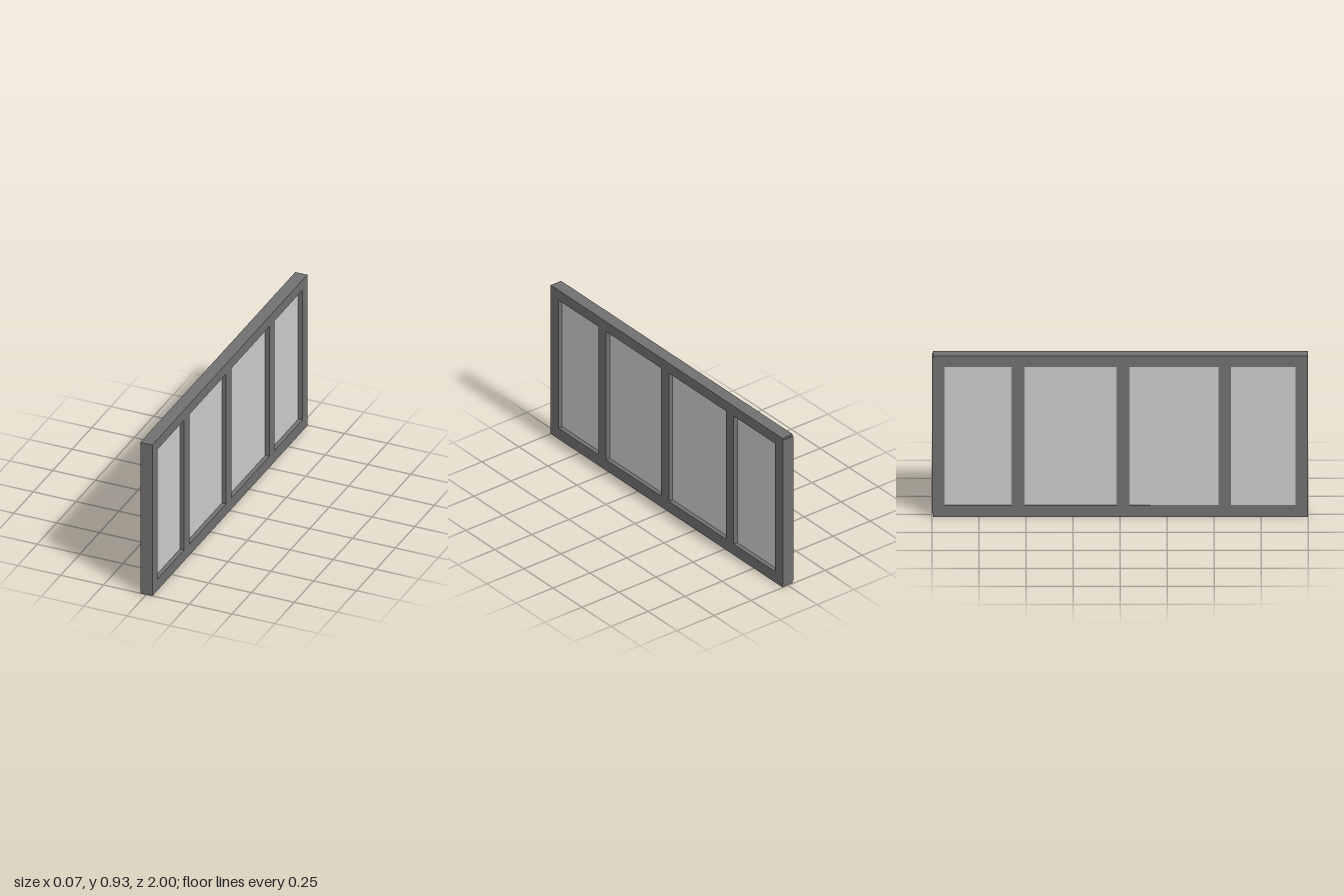
import * as THREE from 'three';

export function createModel() {
  const group = new THREE.Group();
  const frameMat = new THREE.MeshStandardMaterial({ color: 0x707070 });
  const paneMat = new THREE.MeshStandardMaterial({ color: 0xcccccc });
  const H = 0.925, W = 0.067, X = 0.035;

  // box spanning the given min/max ranges
  const box = (name, mat, [x0, x1], [y0, y1], [z0, z1]) => {
    const mesh = new THREE.Mesh(new THREE.BoxGeometry(x1 - x0, y1 - y0, z1 - z0), mat);
    mesh.position.set((x0 + x1) / 2, (y0 + y1) / 2, (z0 + z1) / 2);
    mesh.name = name;
    group.add(mesh);
  };
  const depth = [-X, X];

  // rails, stopping just short of the back stile's outer face
  box('bottomRail', frameMat, depth, [0, W], [-0.995, 1]);
  box('topRail', frameMat, depth, [H - W + 0.005, H], [-0.995, 1]);

  // end stiles; the back one stands slightly proud of the rails
  box('frontStile', frameMat, depth, [W, H - W + 0.005], [1 - W, 1]);
  box('backStile', frameMat, depth, [W, H - W + 0.005], [-0.995, -1 + W]);
  box('backStileFace', frameMat, depth, [0.022, 0.915], [-1, -0.995]);

  // mullions between the lights
  const mullions = [0.557, 0.016, -0.542];
  mullions.forEach((z, i) =>
    box(`mullion${i + 1}`, frameMat, depth, [W, H - W + 0.005], [z - W / 2, z + W / 2]));

  // panes, set towards the -x side
  const centres = [1 - W / 2, ...mullions, -1 + W / 2];
  for (let i = 0; i < 4; i++)
    box(`pane${i + 1}`, paneMat, [-0.03, 0.01], [W, H - W + 0.005],
      [centres[i + 1] + W / 2, centres[i] - W / 2]);

  return group;
}
